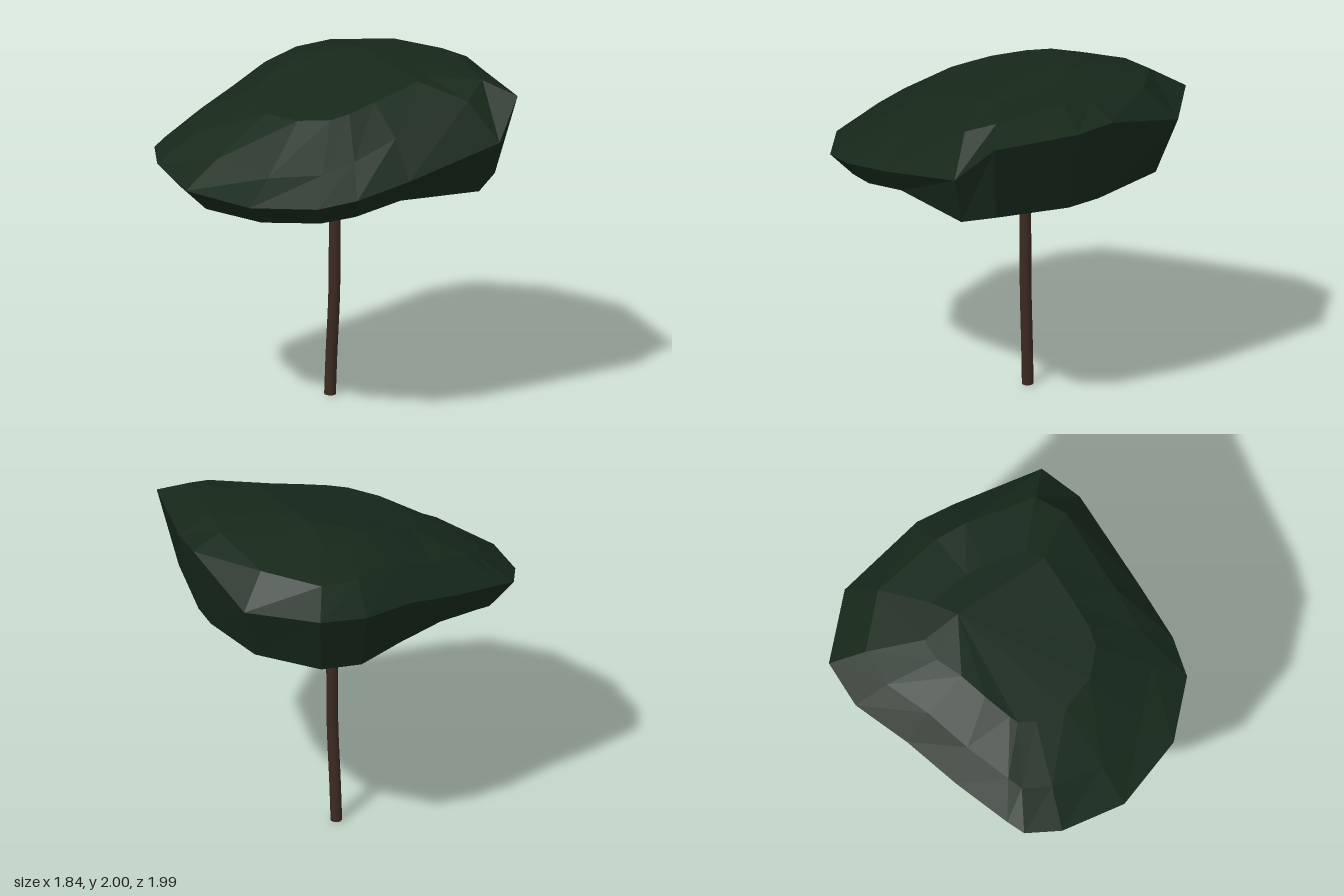
import * as THREE from 'three';

const leafMat = new THREE.MeshStandardMaterial({ color: 0x16281a, flatShading: true });
const barkMat = new THREE.MeshStandardMaterial({ color: 0x3b2a20 });

// Canopy outline, seen from above: [x, z, rim height, upper ring height, lower ring height]
const outline = [
  [-0.25, -1.0, 1.73, 1.90, 1.40], [0.26, -0.83, 1.87, 1.95, 1.38], [0.46, -0.71, 1.85, 1.97, 1.37],
  [0.89, -0.39, 1.86, 1.94, 1.40], [0.92, -0.16, 1.65, 1.87, 1.35], [0.67, 0.38, 1.52, 1.73, 1.38],
  [0.52, 0.68, 1.46, 1.63, 1.33], [0.37, 0.86, 1.43, 1.57, 1.31], [0, 0.99, 1.41, 1.53, 1.29],
  [-0.46, 0.94, 1.42, 1.57, 1.29], [-0.79, 0.73, 1.47, 1.63, 1.32], [-0.92, 0.56, 1.50, 1.66, 1.34],
  [-0.92, 0.45, 1.53, 1.70, 1.36], [-0.89, 0.1, 1.60, 1.76, 1.40], [-0.84, -0.25, 1.68, 1.84, 1.38],
  [-0.81, -0.6, 1.72, 1.86, 1.36], [-0.68, -0.85, 1.75, 1.87, 1.38],
];

// Ring of the outline drawn in towards the middle, with heights from a rule
const ring = (scale, height) => outline.map((p) => {
  const x = -0.05 + (p[0] + 0.05) * scale;
  const z = -0.03 + (p[1] + 0.03) * scale;
  return [x, height(p, x, z), z];
});

function canopyGeometry() {
  const n = outline.length;
  const rings = [
    outline.map(() => [-0.14, 2.0, -0.33]),
    ring(0.48, (p, x, z) => 1.97 - Math.max(0, z + 0.1) * 0.34 - 0.15 * x * x),
    ring(0.8, (p) => p[3]),
    ring(1, (p) => p[2]),
    ring(0.87, (p) => p[4]),
    ring(0.5, (p, x, z) => 1.39 - 0.15 * Math.abs(z - 0.2)),
    outline.map(() => [-0.05, 1.37, 0]),
  ];
  const pos = [];
  for (let r = 0; r < rings.length - 1; r++) {
    for (let i = 0; i < n; i++) {
      const j = (i + 1) % n;
      const [a, b, c, d] = [rings[r][i], rings[r][j], rings[r + 1][i], rings[r + 1][j]];
      if (r > 0) pos.push(...a, ...b, ...d);
      if (r < rings.length - 2) pos.push(...a, ...d, ...c);
    }
  }
  const geo = new THREE.BufferGeometry();
  geo.setAttribute('position', new THREE.Float32BufferAttribute(pos, 3));
  geo.computeVertexNormals();
  return geo;
}

// Smooth round limb along a few points, with a flat cap at its start
function limb(name, points, radius, sides) {
  const group = new THREE.Group();
  group.name = name;
  const curve = new THREE.CatmullRomCurve3(points.map((p) => new THREE.Vector3(...p)));
  group.add(new THREE.Mesh(new THREE.TubeGeometry(curve, 20, radius, sides), barkMat));
  const cap = new THREE.Mesh(new THREE.CircleGeometry(radius, sides), barkMat);
  cap.position.copy(curve.getPoint(0));
  cap.lookAt(cap.position.clone().sub(curve.getTangent(0)));
  group.add(cap);
  group.children.forEach((m) => { m.name = name; });
  return group;
}

export function createModel() {
  const model = new THREE.Group();
  model.name = 'tree';

  const canopy = new THREE.Mesh(canopyGeometry(), leafMat);
  canopy.name = 'canopy';
  model.add(canopy);

  model.add(limb('trunk', [
    [-0.18, 0.005, -0.105], [-0.17, 0.25, -0.105], [-0.152, 0.6, -0.105],
    [-0.148, 1.0, -0.105], [-0.142, 1.25, -0.105], [-0.12, 1.42, -0.1],
  ], 0.033, 12));

  // Branches curve out from the trunk and up into the canopy
  const branches = {
    frontBranch: [[-0.15, 1.18, -0.11], [-0.17, 1.15, 0.08], [-0.2, 1.135, 0.25], [-0.19, 1.18, 0.47], [-0.16, 1.27, 0.64], [-0.13, 1.36, 0.74]],
    leftBranch: [[-0.15, 1.18, -0.1], [0.0, 1.19, -0.13], [0.14, 1.22, -0.17], [0.25, 1.28, -0.22], [0.35, 1.38, -0.26]],
    rightBranch: [[-0.14, 1.19, -0.1], [-0.28, 1.19, -0.1], [-0.4, 1.22, -0.1], [-0.5, 1.28, -0.09], [-0.58, 1.38, -0.07]],
    backBranch: [[-0.16, 1.17, -0.09], [-0.13, 1.18, -0.2], [-0.1, 1.22, -0.29], [-0.07, 1.29, -0.34], [-0.05, 1.39, -0.38]],
  };
  for (const [name, points] of Object.entries(branches)) model.add(limb(name, points, 0.021, 8));

  return model;
}
